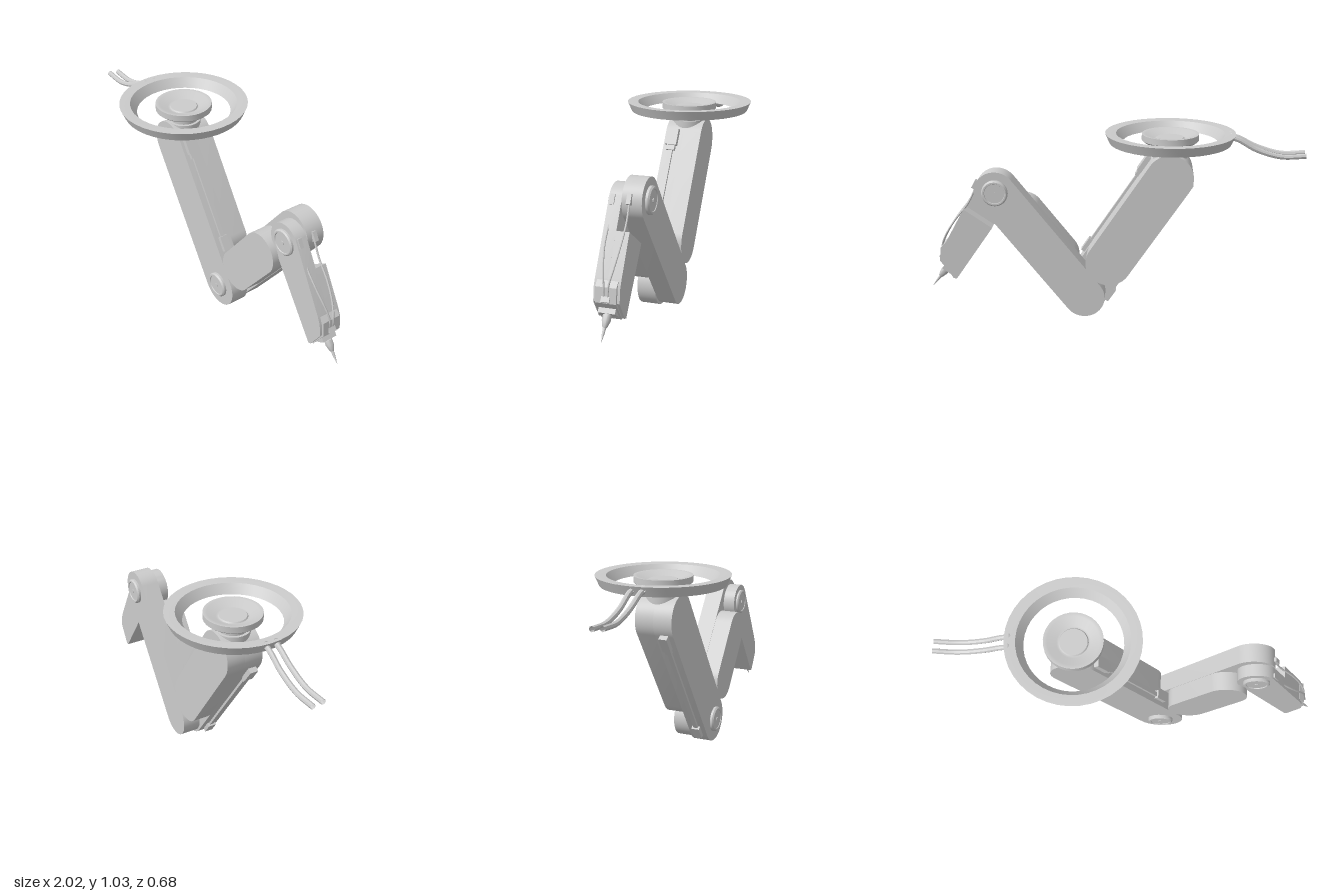
import * as THREE from 'three';
import { toCreasedNormals } from 'three/addons/utils/BufferGeometryUtils.js';

const grey = new THREE.MeshStandardMaterial({ color: 0xcccccc, side: THREE.DoubleSide });

function add(parent, name, geometry, x = 0, y = 0, z = 0) {
  const mesh = new THREE.Mesh(toCreasedNormals(geometry, 0.6), grey);
  mesh.name = name;
  mesh.position.set(x, y, z);
  parent.add(mesh);
  return mesh;
}

const lathe = (points, segments = 32) =>
  new THREE.LatheGeometry(points.map(([r, y]) => new THREE.Vector2(r, y)), segments);

function extrude(shape, z0, z1) {
  const g = new THREE.ExtrudeGeometry(shape, { depth: z1 - z0, bevelEnabled: false, curveSegments: 16 });
  return g.translate(0, 0, z0);
}

// Flat link with round ends, running along local x from a to b
function link(a, b, r, z0, z1) {
  const s = new THREE.Shape();
  s.absarc(a, 0, r, Math.PI / 2, Math.PI * 1.5, false);
  s.absarc(b, 0, r, -Math.PI / 2, Math.PI / 2, false);
  s.closePath();
  return extrude(s, z0, z1);
}

function tube(points, r, segments = 32) {
  const curve = new THREE.CatmullRomCurve3(points.map((p) => new THREE.Vector3(...p)));
  return new THREE.TubeGeometry(curve, segments, r, 8, false);
}

// Group whose local x runs from one joint to the next
function limb(parent, name, from, to) {
  const g = new THREE.Group();
  g.name = name;
  g.position.set(from[0], from[1], 0);
  g.rotation.z = Math.atan2(to[1] - from[1], to[0] - from[0]);
  parent.add(g);
  return g;
}

// Chamfered joint cover with a centre screw, facing +z or -z
function jointCap(parent, name, x, y, z, height, side) {
  const cap = add(parent, name, lathe([
    [0.07, -0.01], [0.07, height * 0.6], [0.063, height], [0.055, height],
    [0.053, height - 0.004], [0.011, height - 0.004], [0.011, height], [0, height],
  ]), x, y, z);
  cap.rotation.x = side * Math.PI / 2;
}

export function createModel() {
  const model = new THREE.Group();
  model.name = 'robotArm';
  const shoulder = [-0.289, 0.805], elbow = [0.166, 0.125];
  const wrist = [0.633, 0.718], handJoint = [0.65, 0.7];

  // Mounting ring, dished hub and neck
  add(model, 'mountRing', lathe([
    [0.25, 0.98], [0.32, 0.98], [0.342, 1.03], [0.325, 1.03], [0.285, 1.028], [0.25, 0.98],
  ], 40), shoulder[0]);
  add(model, 'hub', lathe([
    [0, 0.98], [0.135, 0.98], [0.15, 0.992], [0.15, 1.025], [0.13, 1.025],
    [0.085, 1.0], [0.075, 1.0], [0.07, 1.006], [0, 1.006],
  ]), shoulder[0]);
  add(model, 'neck', new THREE.CylinderGeometry(0.075, 0.075, 0.13, 32), shoulder[0], 0.92);
  add(model, 'neckCollar', new THREE.CylinderGeometry(0.09, 0.09, 0.06, 32), shoulder[0], 0.9);

  // Supply cables leaving the ring
  for (const [z, dy] of [[-0.012, 0], [0.042, 0.006]]) {
    add(model, 'supplyCable', tube([
      [-0.605, 1.01, z], [-0.65, 0.995, z], [-0.74, 0.945 + dy, z],
      [-0.87, 0.908 + dy, z], [-1, 0.912 + dy, z],
    ], 0.014));
    const socket = add(model, 'cableSocket', new THREE.CylinderGeometry(0.02, 0.02, 0.025, 16), -0.605, 1.01, z);
    socket.rotation.z = 1.1;
  }

  // Upper arm: the front half reaches the elbow, the back half stops short
  const upper = limb(model, 'upperArm', shoulder, elbow);
  const upperLength = Math.hypot(elbow[0] - shoulder[0], elbow[1] - shoulder[1]);
  add(upper, 'upperArmFront', link(0, upperLength, 0.125, 0, 0.1));
  add(upper, 'upperArmBack', link(0, upperLength - 0.24, 0.125, -0.1, 0));

  // Conduits on both edges of the upper arm, with a box at each end
  for (const [side, a, b] of [[1, 0.04, 0.6], [-1, 0.04, 0.775]]) {
    add(upper, 'conduit', new THREE.BoxGeometry(b - a, 0.02, 0.024), (a + b) / 2, side * 0.128, 0.052);
    const width = side > 0 ? 0.062 : 0.045;
    add(upper, 'conduitStartBox', new THREE.BoxGeometry(0.095, 0.04, width), a, side * 0.132, 0.052);
    add(upper, 'conduitStartPlug', new THREE.BoxGeometry(0.03, 0.03, width * 0.75), a + 0.06, side * 0.13, 0.052);
    add(upper, 'conduitEndBox', new THREE.BoxGeometry(0.08, 0.035, 0.045), b, side * 0.13, 0.052);
  }

  // Forearm with its shorter front housing
  const forearm = limb(model, 'forearm', elbow, wrist);
  const foreLength = Math.hypot(wrist[0] - elbow[0], wrist[1] - elbow[1]);
  add(forearm, 'forearmBack', link(0, foreLength, 0.112, -0.1, 0));
  add(forearm, 'forearmHousing', link(0.24, 0.55, 0.11, 0, 0.1));

  jointCap(model, 'elbowCap', elbow[0], elbow[1], 0.1, 0.02, 1);
  jointCap(model, 'wristBackCap', wrist[0], wrist[1], -0.1, 0.02, -1);
  jointCap(model, 'wristFrontCap', handJoint[0], handJoint[1], 0.065, 0.016, 1);

  // Hand: the half behind the joint starts below the forearm
  const hand = limb(model, 'hand', handJoint, [0.96, 0.25]);
  const tipOutline = [[0.529, -0.097], [0.535, -0.08], [0.49, 0.025], [0.43, 0.055], [0.386, 0.063]];
  const front = new THREE.Shape();
  front.absarc(0, 0, 0.1, Math.PI / 2, Math.PI * 1.5, false);
  tipOutline.forEach(([x, y]) => front.lineTo(x, y));
  front.closePath();
  add(hand, 'handFront', extrude(front, 0, 0.065));
  const back = new THREE.Shape([[0.165, 0.084], [0.165, -0.099], ...tipOutline]
    .map(([x, y]) => new THREE.Vector2(x, y)));
  add(hand, 'handBack', extrude(back, -0.065, 0));
  const nose = new THREE.Shape([[0.4, 0.03], [0.45, -0.08], [0.54, -0.08], [0.497, 0.034], [0.43, 0.07], [0.395, 0.064]]
    .map(([x, y]) => new THREE.Vector2(x, y)));
  add(hand, 'handNose', extrude(nose, -0.052, 0.052));

  // Tool holder and pointed tool
  add(hand, 'toolHolder', new THREE.BoxGeometry(0.04, 0.05, 0.085), 0.515, -0.025, 0);
  const tool = add(hand, 'tool', lathe([
    [0, 0], [0.016, 0], [0.016, 0.025], [0.021, 0.03], [0.021, 0.055],
    [0.012, 0.085], [0.008, 0.09], [0.006, 0.12], [0, 0.162],
  ], 16), 0.51, -0.022, 0);
  tool.rotation.z = -Math.PI / 2 + 0.06;

  // Sensor leads from the wrist to the nose
  for (const [z, x, y] of [[0.045, 0.735, 0.735], [-0.04, 0.742, 0.745]]) {
    const plug = add(model, 'leadPlug', new THREE.BoxGeometry(0.03, 0.05, 0.022), x, y, z);
    plug.rotation.z = 0.5;
    const s = Math.sign(z);
    add(model, 'sensorLead', tube([
      [x, y - 0.01, z], [0.79, 0.64, z], [0.865, 0.545, z * 0.9], [0.92, 0.46, s * 0.025],
      [0.95, 0.39, s * 0.012], [0.949, 0.32, s * 0.01], [0.93, 0.3, s * 0.01],
    ], 0.005));
  }
  add(hand, 'leadSocket', new THREE.BoxGeometry(0.035, 0.03, 0.042), 0.477, 0.035, 0);

  return model;
}
